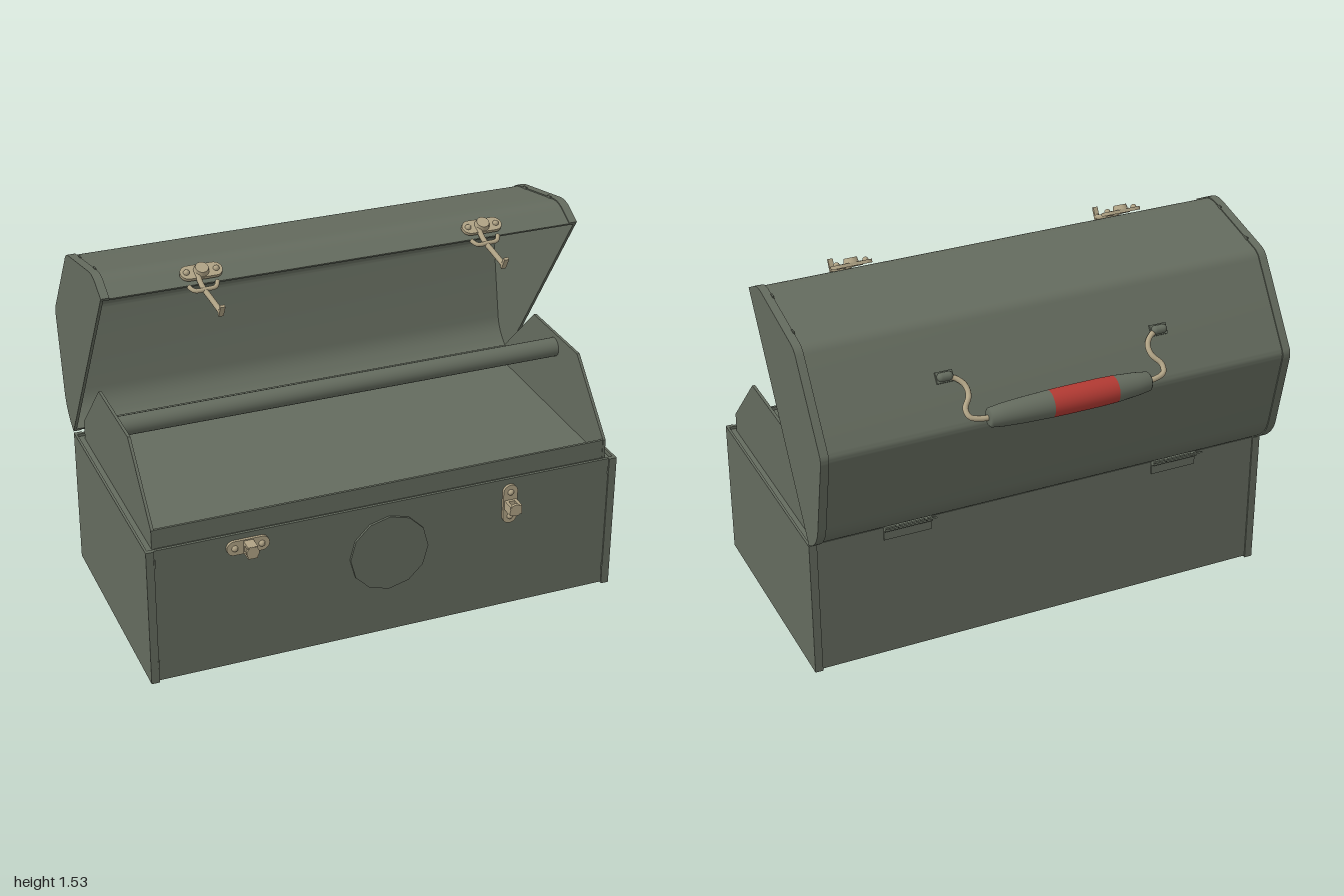
import * as THREE from 'three';
import { toCreasedNormals } from 'three/addons/utils/BufferGeometryUtils.js';

const mat = (name, color) => {
  const m = new THREE.MeshStandardMaterial({ color });
  m.name = name;
  return m;
};

export function createModel() {
  const root = new THREE.Group();
  root.name = 'toolbox';
  const green = mat('olive green', 0x646b5e);
  const red = mat('grip red', 0xb23a33);
  const brass = mat('pale brass', 0xb0a385);

  const group = (name, parent = root) => {
    const g = new THREE.Group();
    g.name = name;
    parent.add(g);
    return g;
  };
  const add = (parent, name, geo, material, x = 0, y = 0, z = 0) => {
    const m = new THREE.Mesh(geo, material);
    m.name = name;
    m.position.set(x, y, z);
    parent.add(m);
    return m;
  };
  // box given by its limits on each axis
  const block = (parent, name, [x0, x1], [y0, y1], [z0, z1], material = green) =>
    add(parent, name, new THREE.BoxGeometry(x1 - x0, y1 - y0, z1 - z0), material,
      (x0 + x1) / 2, (y0 + y1) / 2, (z0 + z1) / 2);
  // side outline of (z, y) points extruded from x0 to x1
  const slab = (pts, x0, x1) => {
    const g = new THREE.ExtrudeGeometry(new THREE.Shape(pts), { depth: x1 - x0, bevelEnabled: false });
    g.rotateY(-Math.PI / 2).translate(x1, 0, 0);
    return toCreasedNormals(g, 0.5);
  };
  const tube = (pts, r, seg = 32) => new THREE.TubeGeometry(
    new THREE.CatmullRomCurve3(pts.map(p => new THREE.Vector3(...p))), seg, r, 10);
  const V = (x, y) => new THREE.Vector2(x, y);

  // ---- lower case: folded sheet between two flanged end plates
  const body = group('lowerCase');
  block(body, 'frontWall', [-0.99, 0.99], [0.006, 0.6], [0.592, 0.604]);
  block(body, 'backWall', [-0.99, 0.99], [0.006, 0.6], [-0.394, -0.382]);
  block(body, 'bottomPanel', [-0.99, 0.99], [0.006, 0.018], [-0.394, 0.604]);
  for (const s of [-1, 1]) {
    const span = (a, b) => (s > 0 ? [a, b] : [-b, -a]);
    block(body, 'endPlate', span(0.99, 1), [0, 0.6], [-0.4, 0.61]);
    block(body, 'endFlangeFront', span(0.967, 0.995), [0, 0.6], [0.6, 0.61]);
    block(body, 'endFlangeBack', span(0.967, 0.995), [0, 0.6], [-0.4, -0.39]);
    block(body, 'endFlangeBottom', span(0.967, 0.995), [0, 0.01], [-0.4, 0.61]);
    for (const y of [0.085, 0.545])
      block(body, 'spotWeld', [s * 0.967 - 0.003, s * 0.967 + 0.003], [y - 0.018, y + 0.018], [0.6, 0.613]);
  }

  // round plate on the front
  add(body, 'roundPlate', new THREE.CylinderGeometry(0.167, 0.167, 0.012, 12).rotateX(Math.PI / 2),
    green, 0, 0.375, 0.608);

  // ---- lift-out tray with gabled ends and a carrying bar
  const tray = group('tray');
  block(tray, 'trayFloor', [-0.985, 0.985], [0.575, 0.588], [-0.385, 0.595]);
  block(tray, 'trayFront', [-0.96, 0.96], [0.58, 0.67], [0.56, 0.57]);
  block(tray, 'trayBack', [-0.96, 0.96], [0.58, 0.67], [-0.357, -0.347]);
  const gable = [V(0.572, 0.58), V(0.572, 0.67), V(0.31, 0.94), V(-0.09, 0.94), V(-0.357, 0.67), V(-0.357, 0.58)];
  for (const x of [-0.965, 0.953]) add(tray, 'trayEnd', slab(gable, x, x + 0.012), green);
  add(tray, 'trayBar', new THREE.CylinderGeometry(0.04, 0.04, 1.91, 24).rotateZ(Math.PI / 2), green, 0, 0.88, 0.11);

  // ---- open lid: outline with rounded corners, in (z, y)
  const corners = [[0.157, 1.46, 0], [0.05, 1.518, 0.05], [-0.345, 1.437, 0.03], [-0.588, 1.088, 0.025],
    [-0.505, 0.69, 0.05], [-0.445, 0.63, 0.02], [-0.402, 0.606, 0]];
  const outline = corners.flatMap(([x, y, r], i) => {
    const p = V(x, y);
    if (!r) return [p];
    const toward = q => p.clone().add(V(q[0], q[1]).sub(p).setLength(r));
    return new THREE.QuadraticBezierCurve(toward(corners[i - 1]), p, toward(corners[i + 1])).getPoints(6);
  });
  // the outline moved inward by d
  const inset = d => outline.map((p, i) => {
    const a = outline[Math.max(i - 1, 0)], b = outline[Math.min(i + 1, outline.length - 1)];
    const t = b.clone().sub(a).normalize();
    return V(p.x - t.y * d, p.y + t.x * d);
  });
  const sheet = (d0, d1, x0, x1) => slab([...inset(d0), ...inset(d1).reverse()], x0, x1);
  const lid = group('lid');
  add(lid, 'lidSkin', sheet(0.005, 0.014, -0.992, 0.992), green);
  for (const s of [-1, 1]) {
    const at = (a, b) => (s > 0 ? [a, b] : [-b, -a]);
    add(lid, 'lidEnd', slab(outline, ...at(0.988, 1)), green);
    add(lid, 'lidEndRim', sheet(0, 0.008, ...at(0.966, 0.995)), green);
    for (const z of [-0.25, -0.03])
      block(lid, 'spotWeld', [s * 0.967 - 0.003, s * 0.967 + 0.003],
        [1.5 + z * 0.205, 1.513 + z * 0.205], [z - 0.012, z + 0.012]);
  }

  // ---- hinges along the back
  for (const x of [-0.59, 0.59]) {
    const hinge = group('hinge');
    add(hinge, 'hingePin', new THREE.CylinderGeometry(0.012, 0.012, 0.2, 12).rotateZ(Math.PI / 2), green, x, 0.6, -0.407);
    block(hinge, 'bodyLeaf', [x - 0.1, x + 0.1], [0.545, 0.6], [-0.401, -0.393]);
    const leaf = add(hinge, 'lidLeaf', new THREE.BoxGeometry(0.2, 0.006, 0.065), green, x, 0.619, -0.435);
    leaf.rotation.x = 0.53;
    for (const dx of [-0.06, 0.06])
      add(hinge, 'hingeRivet', new THREE.SphereGeometry(0.009, 10, 6), green, x + dx, 0.63, -0.448);
  }

  // ---- carrying handle: turned grip on two bent wires
  const handle = group('handle');
  const grip = (name, pts, material) => add(handle, name,
    new THREE.LatheGeometry(pts.map(p => V(...p)), 28).rotateZ(-Math.PI / 2), material, 0, 1.13, -0.62);
  grip('gripRight', [[0, -0.342], [0.03, -0.342], [0.038, -0.335], [0.046, -0.28], [0.053, -0.19]], green);
  grip('gripBand', [[0.053, -0.19], [0.055, -0.12], [0.055, 0.02], [0.054, 0.085]], red);
  grip('gripLeft', [[0.054, 0.085], [0.05, 0.2], [0.045, 0.28], [0.038, 0.335], [0.03, 0.342], [0, 0.342]], green);
  const bend = [[0.32, 0], [0.37, 0.02], [0.41, 0.1], [0.417, 0.28], [0.388, 0.52], [0.388, 0.75], [0.42, 0.94], [0.46, 1]];
  for (const s of [-1, 1]) {
    add(handle, 'handleWire', tube(bend.map(([x, t]) => [s * x, 1.13 + 0.13 * t, -0.62 + 0.144 * t]), 0.011), brass);
    const mount = group('handleMount', handle);
    mount.position.set(s * 0.455, 1.258, -0.472);
    mount.rotation.x = -0.955;
    add(mount, 'mountPlate', new THREE.BoxGeometry(0.07, 0.01, 0.045), green);
    add(mount, 'mountLoop', new THREE.CapsuleGeometry(0.018, 0.03, 6, 12).rotateZ(Math.PI / 2), green, 0, 0.008, 0);
  }

  // stadium plate lying flat, thickness along y
  const stadium = (w, h, t) => {
    const r = h / 2, l = w / 2 - r, s = new THREE.Shape();
    s.absarc(l, 0, r, -Math.PI / 2, Math.PI / 2);
    s.absarc(-l, 0, r, Math.PI / 2, Math.PI * 1.5);
    return new THREE.ExtrudeGeometry(s, { depth: t, bevelEnabled: false, curveSegments: 8 }).rotateX(-Math.PI / 2);
  };

  // ---- draw latches on the lid lip
  for (const x of [-0.59, 0.59]) {
    const latch = group('lidLatch');
    latch.position.set(x, 1.484, 0.117);
    latch.rotation.x = 0.48;
    add(latch, 'latchPlate', stadium(0.17, 0.065, 0.014), brass);
    add(latch, 'latchBoss', new THREE.CylinderGeometry(0.026, 0.034, 0.032, 16), brass, 0, 0.018, 0);
    for (const dx of [-0.06, 0.06])
      add(latch, 'latchRivet', new THREE.SphereGeometry(0.013, 10, 6), brass, dx, 0.014, 0);
    add(latch, 'latchArm', tube([[-0.02, 0.012, 0.01], [-0.015, 0.004, 0.07], [0.002, 0, 0.13], [0.015, 0, 0.18],
      [0.017, 0.004, 0.2]], 0.011), brass);
    add(latch, 'latchHook', new THREE.BoxGeometry(0.02, 0.055, 0.012), brass, 0.017, 0.018, 0.205);
    add(latch, 'latchCrossbar', tube([[-0.07, 0.006, 0.06], [-0.05, 0.006, 0.085], [0, 0.006, 0.085],
      [0.035, 0.006, 0.08], [0.05, 0.006, 0.055]], 0.009), brass);
  }

  // ---- catches on the front: plate with a square staple
  const square = new THREE.Shape([V(-0.026, 0), V(0.026, 0), V(0.026, 0.056), V(-0.026, 0.056)]);
  square.holes.push(new THREE.Path([V(-0.014, 0.014), V(-0.014, 0.042), V(0.014, 0.042), V(0.014, 0.014)]));
  const staple = new THREE.ExtrudeGeometry(square, { depth: 0.04, bevelEnabled: false })
    .translate(0, 0, -0.02).rotateY(Math.PI / 2).rotateX(Math.PI / 2);
  for (const [x, y, turn] of [[-0.592, 0.545, 0], [0.523, 0.488, Math.PI / 2]]) {
    const c = group('frontCatch');
    c.position.set(x, y, 0.604);
    c.rotation.z = turn;
    add(c, 'catchPlate', stadium(0.175, 0.062, 0.012).rotateX(Math.PI / 2), brass);
    add(c, 'catchStaple', staple, brass, 0, 0, 0.01);
    add(c, 'catchCap', new THREE.CylinderGeometry(0.026, 0.026, 0.012, 16).rotateX(Math.PI / 2), brass, 0, 0, 0.061);
    for (const dx of [-0.055, 0.055])
      add(c, 'catchRivet', new THREE.SphereGeometry(0.014, 10, 6), brass, dx, 0, 0.01);
  }
  return root;
}
